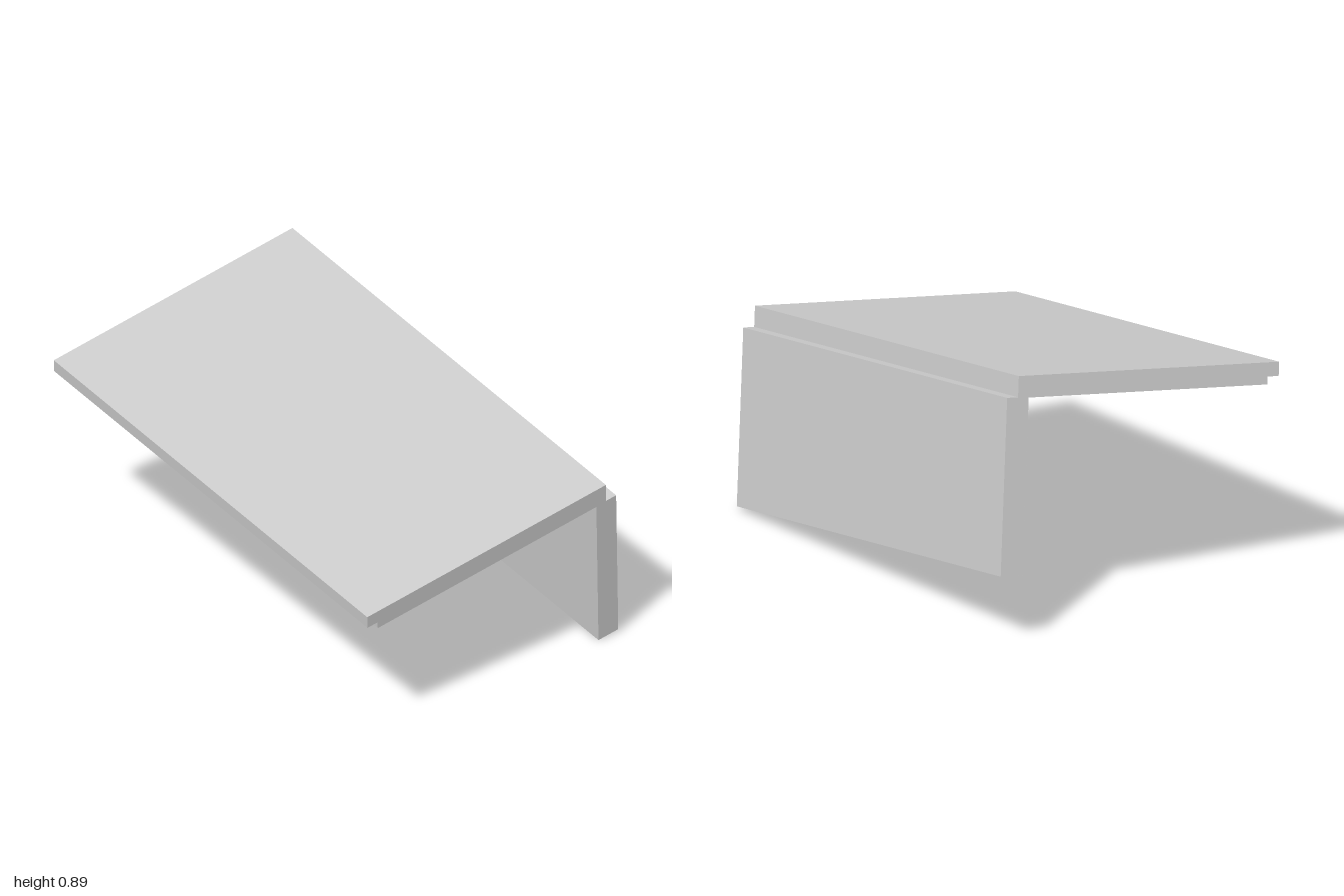
import * as THREE from 'three';

export function createModel() {
  const group = new THREE.Group();
  const material = new THREE.MeshStandardMaterial({ color: 0xcccccc, flatShading: true });
  const length = 1.623;

  // Local frame: x across the slab, y out of its top, z along its length
  const along = new THREE.Vector3(0.669, -0.1455, 0.729).normalize();
  const across = new THREE.Vector3(0.743, 0.1327, -0.656).normalize();
  const up = new THREE.Vector3().crossVectors(along, across).normalize();
  across.crossVectors(up, along);
  const bracket = new THREE.Group();
  bracket.name = 'angledBracket';
  bracket.quaternion.setFromRotationMatrix(new THREE.Matrix4().makeBasis(across, up, along));
  bracket.position.set(-0.935, 0.756, -0.183);
  group.add(bracket);

  // Slab with a rebated front edge, joined to a wall that projects past its back edge
  const profile = new THREE.Shape([
    [0, 0], [0, -0.047], [0.043, -0.047], [0.043, -0.073], [0.962, -0.073],
    [0.962, -0.66], [1.045, -0.66], [1.045, -0.07], [1.003, -0.07], [1.003, 0],
  ].map(([x, y]) => new THREE.Vector2(x, y)));
  const slab = new THREE.Mesh(
    new THREE.ExtrudeGeometry(profile, { depth: length, bevelEnabled: false }), material);
  slab.name = 'slabAndWall';
  bracket.add(slab);

  // Shallow raised pad under the slab
  const pad = new THREE.Mesh(new THREE.BoxGeometry(0.46, 0.03, 0.46), material);
  pad.name = 'undersidePad';
  pad.position.set(0.48, -0.083, length / 2);
  bracket.add(pad);

  return group;
}
